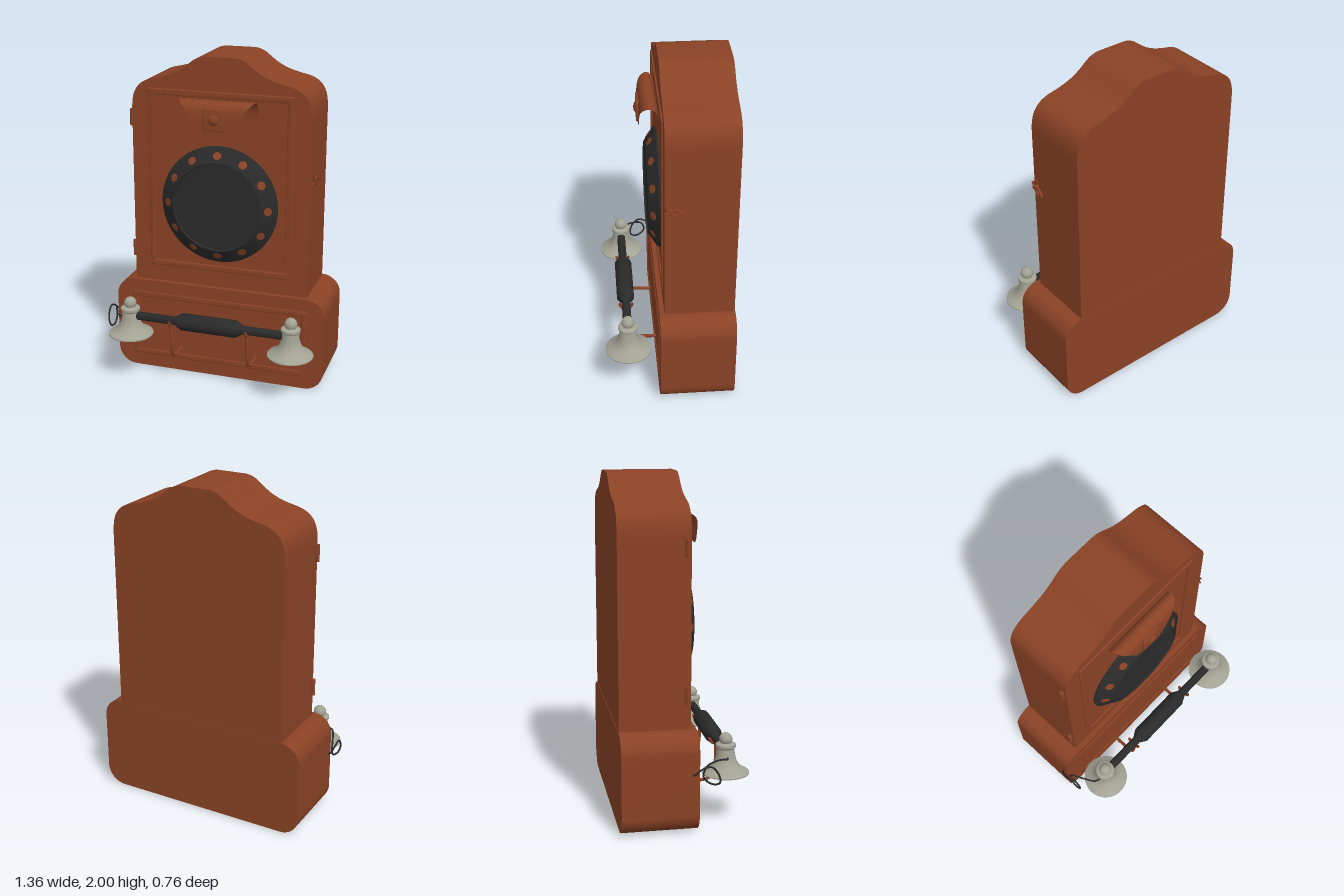
import * as THREE from 'three';
import { toCreasedNormals } from 'three/addons/utils/BufferGeometryUtils.js';

const CX = 0.015; // centre line of the case

export function createModel() {
  const model = new THREE.Group();
  const mat = (name, color, side = THREE.FrontSide) => {
    const m = new THREE.MeshStandardMaterial({ color, side });
    m.name = name;
    return m;
  };
  const wood = mat('reddish wood', 0x8a4225, THREE.DoubleSide);
  const black = mat('black', 0x2a2a2a);
  const metal = mat('pale metal', 0xa2a294, THREE.DoubleSide);

  const add = (name, geometry, material, x = 0, y = 0, z = 0) => {
    const mesh = new THREE.Mesh(geometry, material);
    mesh.name = name;
    mesh.position.set(x, y, z);
    model.add(mesh);
    return mesh;
  };
  const crease = (g) => toCreasedNormals(g, 0.6);
  const extrude = (shape, depth, bevel = 0) => crease(new THREE.ExtrudeGeometry(shape, {
    depth, curveSegments: 14, bevelEnabled: bevel > 0,
    bevelThickness: bevel, bevelSize: bevel, bevelOffset: -bevel, bevelSegments: 3,
  }));
  const lathe = (pts, segments = 48) =>
    crease(new THREE.LatheGeometry(pts.map(([r, y]) => new THREE.Vector2(r, y)), segments));
  const tube = (pts, r, n = 48) => new THREE.TubeGeometry(
    new THREE.CatmullRomCurve3(pts.map((p) => new THREE.Vector3(...p))), n, r, 8);
  const rect = (path, x0, y0, x1, y1) => {
    path.moveTo(x0, y0);
    path.lineTo(x1, y0);
    path.lineTo(x1, y1);
    path.lineTo(x0, y1);
    path.closePath();
    return path;
  };
  const roundRect = (w, h, r) => {
    const s = new THREE.Shape(), a = w / 2, b = h / 2;
    s.absarc(a - r, b - r, r, 0, Math.PI / 2);
    s.absarc(r - a, b - r, r, Math.PI / 2, Math.PI);
    s.absarc(r - a, r - b, r, Math.PI, Math.PI * 1.5);
    s.absarc(a - r, r - b, r, Math.PI * 1.5, Math.PI * 2);
    return s;
  };

  // Upper case with its shouldered crest
  const crest = new THREE.Shape();
  crest.moveTo(-0.548, 0.58);
  crest.lineTo(0.548, 0.58);
  crest.lineTo(0.548, 1.66);
  crest.bezierCurveTo(0.548, 1.77, 0.52, 1.83, 0.42, 1.855);
  crest.bezierCurveTo(0.27, 1.885, 0.24, 1.915, 0.17, 1.97);
  crest.quadraticCurveTo(0.13, 2, 0.08, 2);
  crest.lineTo(-0.08, 2);
  crest.quadraticCurveTo(-0.13, 2, -0.17, 1.97);
  crest.bezierCurveTo(-0.24, 1.915, -0.27, 1.885, -0.42, 1.855);
  crest.bezierCurveTo(-0.52, 1.83, -0.548, 1.77, -0.548, 1.66);
  crest.closePath();
  add('upperCase', extrude(crest, 0.41), wood, CX, 0, -0.38);

  // Lower case with rounded corners
  add('lowerCase', extrude(roundRect(1.33, 0.588, 0.115), 0.443), wood, CX, 0.294, -0.383);

  // Raised mouldings on both fronts
  const moulding = (name, w, h, t, y, z) => {
    const s = rect(new THREE.Shape(), -w / 2, -h / 2, w / 2, h / 2);
    s.holes.push(rect(new THREE.Path(), t - w / 2, t - h / 2, w / 2 - t, h / 2 - t));
    add(name, extrude(s, 0.004, 0.007), wood, CX, y, z);
  };
  moulding('upperMoulding', 0.89, 1.11, 0.038, 1.245, 0.03);
  moulding('lowerMoulding', 1.12, 0.43, 0.036, 0.295, 0.055);

  // Sloping speaker ring around a sunken disc
  add('speaker', lathe([[0.36, 0.025], [0.36, 0.042], [0.275, 0.102], [0.266, 0.102],
    [0.262, 0.092], [0, 0.092]], 64).rotateX(Math.PI / 2), black, CX, 1.12);
  const tilt = Math.atan2(0.06, 0.085);
  for (let i = 0; i < 12; i++) {
    const hole = new THREE.CylinderGeometry(0.025, 0.025, 0.004, 18)
      .rotateX(Math.PI / 2).rotateY(tilt).translate(0.311, 0, 0.0775)
      .rotateZ(i * Math.PI / 6);
    add('speakerHole', hole, wood, CX, 1.12);
  }

  // Curled bracket: [y, z, half width] from the wall over to the hanging lip
  const sections = [
    [1.64, 0.036, 0.20], [1.66, 0.036, 0.23], [1.70, 0.037, 0.235], [1.735, 0.047, 0.235],
    [1.755, 0.064, 0.235], [1.762, 0.083, 0.23], [1.757, 0.104, 0.222], [1.742, 0.122, 0.208],
    [1.72, 0.134, 0.187], [1.69, 0.140, 0.163], [1.65, 0.142, 0.14], [1.61, 0.142, 0.118],
    [1.59, 0.142, 0.10], [1.58, 0.142, 0.08]];
  const pos = [], index = [];
  sections.forEach(([y, z, w], i) => {
    pos.push(-w, y, z, w, y, z);
    const a = i * 2;
    if (i) index.push(a - 2, a, a - 1, a - 1, a, a + 1);
  });
  const sheet = new THREE.BufferGeometry();
  sheet.setAttribute('position', new THREE.Float32BufferAttribute(pos, 3));
  sheet.setIndex(index);
  sheet.computeVertexNormals();
  add('bracketSheet', sheet, wood, CX);
  add('bracketPlate', extrude(roundRect(0.135, 0.135, 0.02), 0.006, 0.004), wood, CX, 1.66, 0.143);
  add('bracketKnob', new THREE.SphereGeometry(0.031, 24, 16).scale(1, 1, 0.5), wood, CX, 1.66, 0.151);

  // Hinges on one edge
  for (const y of [0.78, 1.61]) {
    add('hinge', new THREE.CylinderGeometry(0.012, 0.012, 0.10, 16), wood, -0.544, y, 0.01);
    add('hingeLeaf', new THREE.BoxGeometry(0.012, 0.10, 0.025), wood, -0.535, y, 0.005);
  }

  // Small latch on the other edge
  add('latchPost', new THREE.CylinderGeometry(0.012, 0.012, 0.03, 12).rotateZ(Math.PI / 2),
    wood, 0.573, 1.315, 0);
  add('latchBase', new THREE.BoxGeometry(0.012, 0.05, 0.03), wood, 0.564, 1.325, 0.012);
  add('latchHook', tube([[0.58, 1.345, 0.025], [0.582, 1.315, 0], [0.582, 1.325, -0.03],
    [0.585, 1.315, -0.055], [0.588, 1.295, -0.075]], 0.007, 20), wood);
  add('latchArm', tube([[0.575, 1.30, 0.03], [0.58, 1.30, 0], [0.58, 1.285, -0.03]], 0.006, 12), wood);

  // Handset bar with a swollen grip
  add('handsetBar', lathe([[0, -0.5], [0.026, -0.5], [0.026, -0.215], [0.053, -0.17],
    [0.053, 0.17], [0.026, 0.215], [0.026, 0.5], [0, 0.5]], 24).rotateZ(-Math.PI / 2),
  black, CX, 0.424, 0.242);

  // Bell at each end of the bar, hollow below
  const bell = lathe([[0, 0.37], [0.04, 0.365], [0.075, 0.338], [0.125, 0.306], [0.132, 0.30],
    [0.137, 0.302], [0.137, 0.309], [0.105, 0.327], [0.08, 0.348], [0.064, 0.375], [0.054, 0.41],
    [0.050, 0.45], [0.058, 0.458], [0.058, 0.474], [0.045, 0.481], [0.022, 0.484], [0, 0.484]]);
  for (const side of [-1, 1]) {
    const x = CX + side * 0.506;
    add('bell', bell, metal, x, 0, 0.242);
    add('bellKnob', new THREE.SphereGeometry(0.038, 24, 16), metal, x, 0.504, 0.242);

    // Bent cradle hook holding the bar
    const hx = CX + side * 0.24;
    add('cradleStem', tube([[0, 0.16, 0.04], [0, 0.162, 0.12], [0, 0.17, 0.19], [0, 0.195, 0.225],
      [0, 0.25, 0.24], [0, 0.32, 0.243], [0, 0.39, 0.243]], 0.0105), wood, hx);
    add('cradleCup', new THREE.TorusGeometry(0.037, 0.0095, 8, 20, Math.PI)
      .rotateZ(Math.PI).rotateY(Math.PI / 2), wood, hx, 0.428, 0.242);
  }

  // Looping cord from the bar to the case
  add('cord', tube([[-0.48, 0.405, 0.242], [-0.57, 0.407, 0.235], [-0.61, 0.42, 0.18],
    [-0.645, 0.40, 0.10], [-0.652, 0.34, 0.08], [-0.648, 0.295, 0.13], [-0.657, 0.30, 0.17],
    [-0.672, 0.35, 0.165], [-0.676, 0.405, 0.12], [-0.676, 0.39, 0.06], [-0.665, 0.36, 0.03],
    [-0.635, 0.35, 0.02]], 0.0055, 80), black);

  return model;
}
